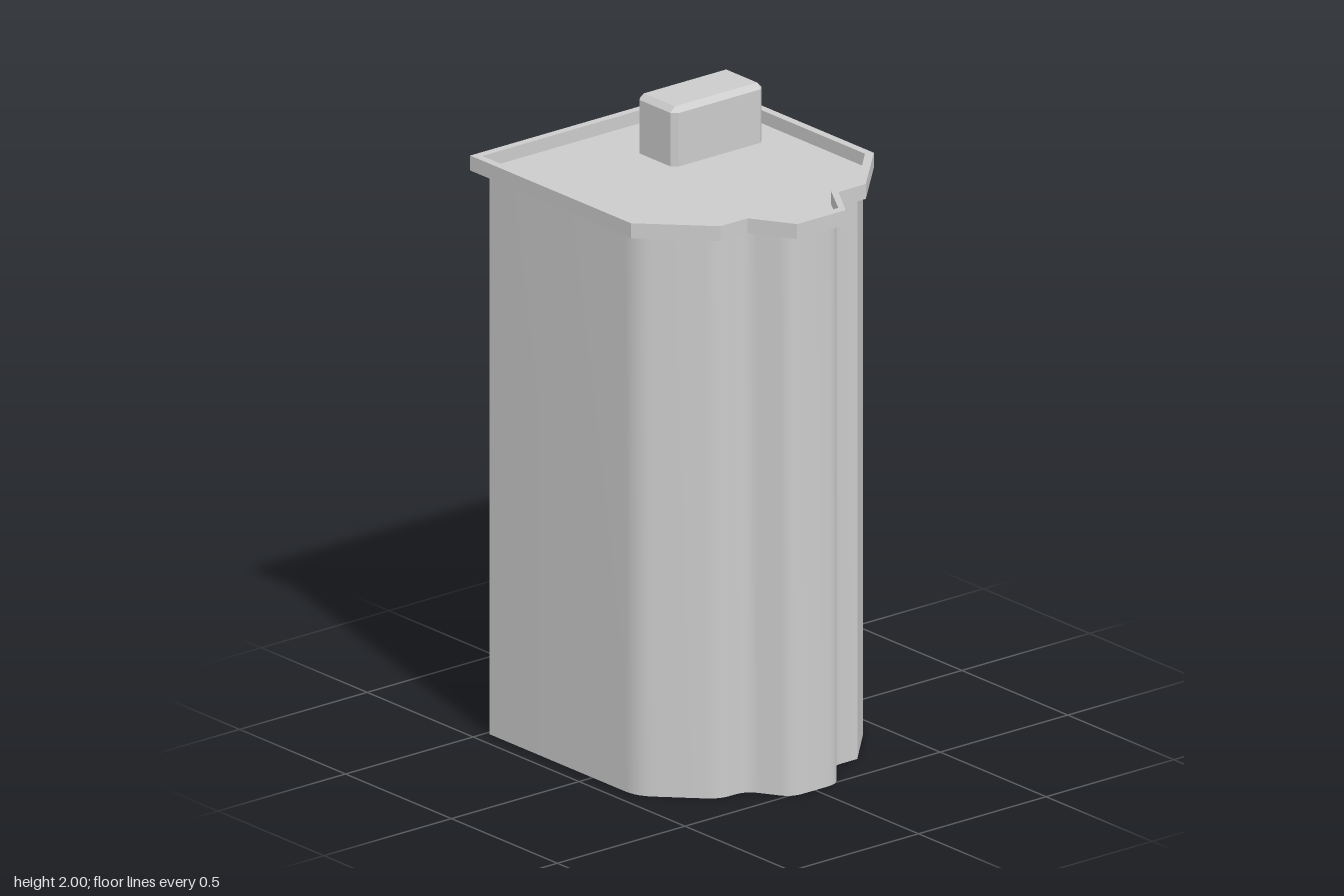
import * as THREE from 'three';
import { toCreasedNormals } from 'three/addons/utils/BufferGeometryUtils.js';
import { ConvexGeometry } from 'three/addons/geometries/ConvexGeometry.js';

const material = new THREE.MeshStandardMaterial({ color: 0xcccccc });

// Plan points are [x, z, corner radius]; shapes use y = -z so they can be laid flat.
function planShape(points, Type = THREE.Shape) {
  const shape = new Type();
  const n = points.length;
  points.forEach(([x, z, r = 0], i) => {
    const corner = new THREE.Vector2(x, -z);
    const towards = (p) => {
      const dir = new THREE.Vector2(p[0], -p[1]).sub(corner).normalize();
      return corner.clone().addScaledVector(dir, r);
    };
    const a = towards(points[(i + n - 1) % n]);
    const b = towards(points[(i + 1) % n]);
    if (i === 0) shape.moveTo(a.x, a.y);
    else shape.lineTo(a.x, a.y);
    if (r > 0) shape.quadraticCurveTo(corner.x, corner.y, b.x, b.y);
  });
  shape.closePath();
  return shape;
}

// Mirrors the right half of a plan (front to back) onto the left.
const mirrored = (half) => [...half, ...half.map(([x, z, r]) => [-x, z, r]).reverse()];

function slab(name, shape, bottom, top) {
  const geometry = new THREE.ExtrudeGeometry(shape, { depth: top - bottom, bevelEnabled: false, curveSegments: 5 });
  geometry.rotateX(-Math.PI / 2).translate(0, bottom, 0);
  const mesh = new THREE.Mesh(toCreasedNormals(geometry, 0.4), material);
  mesh.name = name;
  return mesh;
}

// Box with every edge cut by a small flat chamfer.
function chamferedBox(name, w, h, d, c) {
  const points = [];
  for (const x of [-1, 1]) for (const y of [-1, 1]) for (const z of [-1, 1]) {
    for (let axis = 0; axis < 3; axis++) {
      const half = [w / 2 - c, h / 2 - c, d / 2 - c];
      half[axis] += c;
      points.push(new THREE.Vector3(x * half[0], y * half[1], z * half[2]));
    }
  }
  const mesh = new THREE.Mesh(new ConvexGeometry(points), material);
  mesh.name = name;
  return mesh;
}

export function createModel() {
  const group = new THREE.Group();
  group.name = 'tower';
  const deckY = 1.805;

  // Tower body: softened front corners, chamfered back corners
  const bodyPlan = mirrored([
    [0.09, 0.512, 0.04], [0.168, 0.386, 0.04], [0.27, 0.386, 0.04],
    [0.447, 0.205, 0.05], [0.447, -0.487, 0], [0.422, -0.512, 0],
  ]);
  bodyPlan[2][2] = 0; // this one front corner stays sharp
  group.add(slab('towerBody', planShape(bodyPlan), 0, deckY));

  // Parapet rim around the roof, and the deck inside it
  const outer = mirrored([[0.095, 0.542], [0.178, 0.408], [0.285, 0.408], [0.476, 0.216], [0.476, -0.543]]);
  const inner = mirrored([[0.09, 0.513], [0.167, 0.385], [0.272, 0.385], [0.45, 0.205], [0.45, -0.517]]);
  const rim = planShape(outer);
  rim.holes.push(planShape(inner, THREE.Path));
  group.add(slab('parapet', rim, deckY, 1.853));
  group.add(slab('roofDeck', planShape(inner), deckY, deckY + 0.006));

  // Chamfered rooftop housing, sunk slightly into the deck
  const housing = chamferedBox('rooftopHousing', 0.357, 0.22, 0.18, 0.017);
  housing.position.set(0.179, 1.89, -0.245);
  group.add(housing);

  return group;
}
